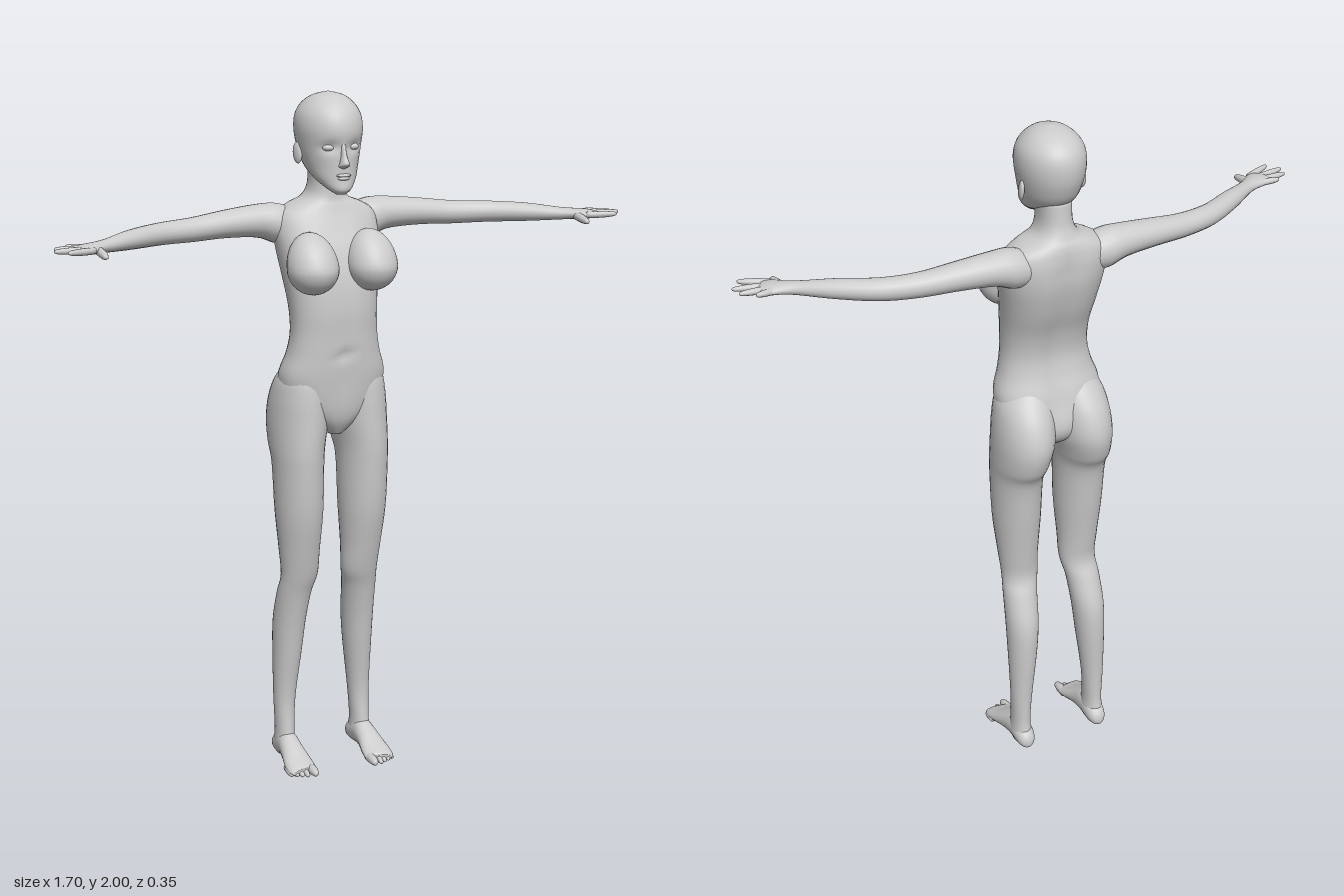
import * as THREE from 'three';

const material = new THREE.MeshStandardMaterial({ color: 0xcccccc });
const SIDES = 32;

// Catmull-Rom interpolation of a short table, column by column
function smooth(rows, steps) {
  const out = [], at = (i) => rows[Math.min(Math.max(i, 0), rows.length - 1)];
  for (let i = 0; i < rows.length - 1; i++) {
    for (let k = 0; k < steps; k++) {
      const t = k / steps, t2 = t * t, t3 = t2 * t;
      out.push(rows[i].map((b, j) => {
        const a = at(i - 1)[j], c = at(i + 1)[j], d = at(i + 2)[j];
        return 0.5 * (2 * b + (c - a) * t + (2 * a - 5 * b + 4 * c - d) * t2 + (3 * b - a - 3 * c + d) * t3);
      }));
    }
  }
  out.push(rows[rows.length - 1]);
  return out;
}

// Closed skin over rings of points, oriented outwards by its signed volume
function skin(name, rings) {
  const n = rings[0].length, pts = rings.flat(), index = [];
  const centre = (ring) => ring.reduce((s, p) => s.add(p), new THREE.Vector3()).divideScalar(n);
  const last = (rings.length - 1) * n, c0 = pts.length, c1 = c0 + 1;
  pts.push(centre(rings[0]), centre(rings[rings.length - 1]));
  for (let j = 0; j < n; j++) {
    const k = (j + 1) % n;
    for (let i = 0; i < last; i += n) index.push(i + j, i + k, i + n + j, i + k, i + n + k, i + n + j);
    index.push(c0, k, j, c1, last + j, last + k);
  }
  let volume = 0;
  const cross = new THREE.Vector3();
  for (let i = 0; i < index.length; i += 3) {
    volume += pts[index[i]].dot(cross.crossVectors(pts[index[i + 1]], pts[index[i + 2]]));
  }
  if (volume < 0) index.reverse();
  const geometry = new THREE.BufferGeometry().setFromPoints(pts);
  geometry.setIndex(index);
  geometry.computeVertexNormals();
  const mesh = new THREE.Mesh(geometry, material);
  mesh.name = name;
  return mesh;
}

// Upright form; rows are [y, centre x, half width, front z, back z]
function upright(name, rows, { side = 1, steps = 5, power = 1, shape } = {}) {
  const curve = (v) => Math.sign(v) * Math.abs(v) ** power;
  return skin(name, smooth(rows, steps).map(([y, cx, rx, zf, zb]) =>
    Array.from({ length: SIDES }, (_, j) => {
      const a = (j / SIDES) * Math.PI * 2;
      const p = new THREE.Vector3(side * (cx + rx * curve(Math.cos(a))), y,
        (zf + zb) / 2 + (zf - zb) / 2 * curve(Math.sin(a)));
      if (shape) shape(p, Math.sin(a));
      return p;
    })));
}

// Form along a level path; rows are [x, y, z, half width, half height]
function limb(name, rows, side = 1, steps = 5, sides = 20) {
  const r = smooth(rows, steps);
  return skin(name, r.map(([x, y, z, w, h], i) => {
    const a = r[Math.max(i - 1, 0)], b = r[Math.min(i + 1, r.length - 1)];
    const dx = b[0] - a[0], dz = b[2] - a[2], len = Math.hypot(dx, dz);
    return Array.from({ length: sides }, (_, j) => {
      const t = (j / sides) * Math.PI * 2, u = w * Math.cos(t);
      return new THREE.Vector3(side * (x - u * dz / len), y + h * Math.sin(t), z + u * dx / len);
    });
  }));
}

// Tapered finger or toe with a rounded tip
function digit(name, from, to, r, side) {
  const at = (t, k) => [...from.map((v, i) => v + (to[i] - v) * t), r * k, r * k];
  return limb(name, [at(0, 1), at(0.5, 1), at(0.85, 0.75), at(0.97, 0.45), at(1, 0.05)], side, 3, 10);
}

function ellipsoid(name, [x, y, z], [rx, ry, rz]) {
  const mesh = new THREE.Mesh(new THREE.SphereGeometry(1, 28, 20).scale(rx, ry, rz), material);
  mesh.position.set(x, y, z);
  mesh.name = name;
  return mesh;
}

const bump = (u, v, r) => Math.exp(-(u * u + v * v) / (r * r));

export function createModel() {
  const model = new THREE.Group();
  model.name = 'figure';

  // Torso and neck, with spine groove, navel and midline
  model.add(upright('torso', [
    [1.03, 0, 0.025, 0.03, -0.07], [1.07, 0, 0.08, 0.054, -0.12], [1.12, 0, 0.14, 0.066, -0.135],
    [1.2, 0, 0.158, 0.075, -0.122], [1.27, 0, 0.138, 0.08, -0.1], [1.33, 0, 0.128, 0.082, -0.092],
    [1.4, 0, 0.129, 0.084, -0.105], [1.48, 0, 0.138, 0.076, -0.135], [1.56, 0, 0.15, 0.055, -0.156],
    [1.62, 0, 0.155, 0.03, -0.16], [1.66, 0, 0.145, 0.012, -0.155], [1.685, 0, 0.11, 0.002, -0.148],
    [1.705, 0, 0.065, -0.004, -0.138], [1.74, 0, 0.047, -0.006, -0.126], [1.8, 0, 0.046, -0.005, -0.12],
  ], {
    power: 0.88,
    shape(p, s) {
      const fade = THREE.MathUtils.smoothstep(p.y, 1.1, 1.2) * (1 - THREE.MathUtils.smoothstep(p.y, 1.6, 1.7));
      if (s < 0) p.z += 0.014 * fade * bump(p.x, 0, 0.03);
      else p.z -= 0.005 * fade * bump(p.x, 0, 0.02) + 0.01 * bump(p.x, p.y - 1.27, 0.016);
    },
  }));

  // Head with eye sockets and a flatter mouth area
  model.add(upright('head', [
    [1.724, 0, 0.014, 0.06, 0.03], [1.738, 0, 0.034, 0.07, 0], [1.765, 0, 0.058, 0.068, -0.06],
    [1.8, 0, 0.074, 0.067, -0.12], [1.85, 0, 0.087, 0.067, -0.148], [1.9, 0, 0.094, 0.071, -0.157],
    [1.94, 0, 0.089, 0.06, -0.15], [1.97, 0, 0.07, 0.036, -0.127], [1.99, 0, 0.042, 0.004, -0.09],
    [2, 0, 0.003, -0.04, -0.046],
  ], {
    steps: 7,
    shape(p, s) {
      if (s > 0) p.z -= 0.011 * bump(Math.abs(p.x) - 0.036, (p.y - 1.855) * 1.3, 0.02);
    },
  }));
  model.add(upright('nose', [
    [1.795, 0, 0.004, 0.066, 0.05], [1.803, 0, 0.015, 0.08, 0.05], [1.812, 0, 0.013, 0.091, 0.05],
    [1.835, 0, 0.008, 0.078, 0.05], [1.87, 0, 0.007, 0.066, 0.05],
  ]));
  model.add(ellipsoid('upperLip', [0, 1.778, 0.066], [0.022, 0.005, 0.009]));
  model.add(ellipsoid('lowerLip', [0, 1.77, 0.066], [0.018, 0.006, 0.009]));

  for (const side of [1, -1]) {
    const half = new THREE.Group();
    half.name = side > 0 ? 'leftSide' : 'rightSide';

    half.add(ellipsoid('eye', [side * 0.036, 1.854, 0.043], [0.018, 0.01, 0.014]));
    const ear = ellipsoid('ear', [side * 0.089, 1.832, -0.052], [0.008, 0.03, 0.018]);
    ear.rotation.set(-0.2, side * -0.3, 0);
    half.add(ear);

    // Chest form, drawn out upwards into the torso
    const breast = ellipsoid('breast', [side * 0.09, 1.522, 0.06], [0.073, 0.073, 0.077]);
    const pos = breast.geometry.attributes.position;
    for (let i = 0; i < pos.count; i++) {
      const y = pos.getY(i);
      if (y > 0) pos.setXYZ(i, pos.getX(i), y * 1.35, pos.getZ(i) - y * 0.35);
    }
    breast.geometry.computeVertexNormals();
    half.add(breast);

    // Leg from buttock to ankle
    half.add(upright('leg', [
      [1.25, 0.07, 0.04, 0.03, -0.08], [1.2, 0.08, 0.074, 0.055, -0.125], [1.14, 0.087, 0.083, 0.063, -0.162],
      [1.07, 0.092, 0.084, 0.066, -0.178], [1, 0.099, 0.077, 0.068, -0.162], [0.94, 0.101, 0.072, 0.066, -0.13],
      [0.8, 0.1, 0.069, 0.055, -0.11], [0.68, 0.098, 0.06, 0.031, -0.093], [0.6, 0.096, 0.055, 0.012, -0.086],
      [0.54, 0.104, 0.051, -0.006, -0.108], [0.45, 0.11, 0.048, -0.025, -0.137], [0.35, 0.114, 0.043, -0.04, -0.141],
      [0.2, 0.121, 0.033, -0.06, -0.133], [0.1, 0.123, 0.028, -0.054, -0.131], [0.05, 0.123, 0.03, -0.045, -0.138],
      [0.02, 0.123, 0.024, -0.05, -0.14],
    ], { side }));

    // Foot and toes
    half.add(limb('foot', [
      [0.122, 0.03, -0.153, 0.004, 0.006], [0.122, 0.034, -0.145, 0.02, 0.022], [0.122, 0.042, -0.12, 0.03, 0.034],
      [0.123, 0.052, -0.07, 0.032, 0.042], [0.125, 0.042, -0.025, 0.036, 0.033], [0.126, 0.024, 0.025, 0.044, 0.022],
      [0.126, 0.017, 0.055, 0.043, 0.015], [0.125, 0.015, 0.065, 0.034, 0.01],
    ], side));
    for (let i = 0; i < 5; i++) {
      const x = i ? 0.105 + i * 0.0145 : 0.097, r = i ? 0.0095 : 0.014;
      half.add(digit('toe', [x, 0.017, 0.035 - i * 0.004], [x, r, 0.094 - i * 0.007], r, side));
    }

    // Arm, curving forwards to the palm
    half.add(limb('arm', [
      [0.08, 1.625, -0.09, 0.045, 0.045], [0.14, 1.632, -0.09, 0.056, 0.057], [0.2, 1.642, -0.09, 0.05, 0.047],
      [0.3, 1.64, -0.083, 0.043, 0.039], [0.4, 1.633, -0.07, 0.036, 0.034], [0.5, 1.632, -0.045, 0.033, 0.031],
      [0.6, 1.632, 0.01, 0.03, 0.027], [0.68, 1.63, 0.06, 0.023, 0.019], [0.715, 1.63, 0.08, 0.026, 0.016],
      [0.75, 1.63, 0.098, 0.037, 0.014], [0.772, 1.629, 0.108, 0.034, 0.011], [0.78, 1.629, 0.112, 0.02, 0.006],
    ], side));
    const fingers = [
      [0.762, 0.076, 0.803, 0.064], [0.772, 0.092, 0.84, 0.092],
      [0.768, 0.11, 0.849, 0.126], [0.755, 0.128, 0.822, 0.163],
    ];
    for (const [x0, z0, x1, z1] of fingers) {
      half.add(digit('finger', [x0 - 0.015, 1.63, z0], [x1, 1.634, z1], 0.0095, side));
    }
    half.add(digit('thumb', [0.722, 1.627, 0.098], [0.722, 1.617, 0.172], 0.012, side));
    model.add(half);
  }
  return model;
}
